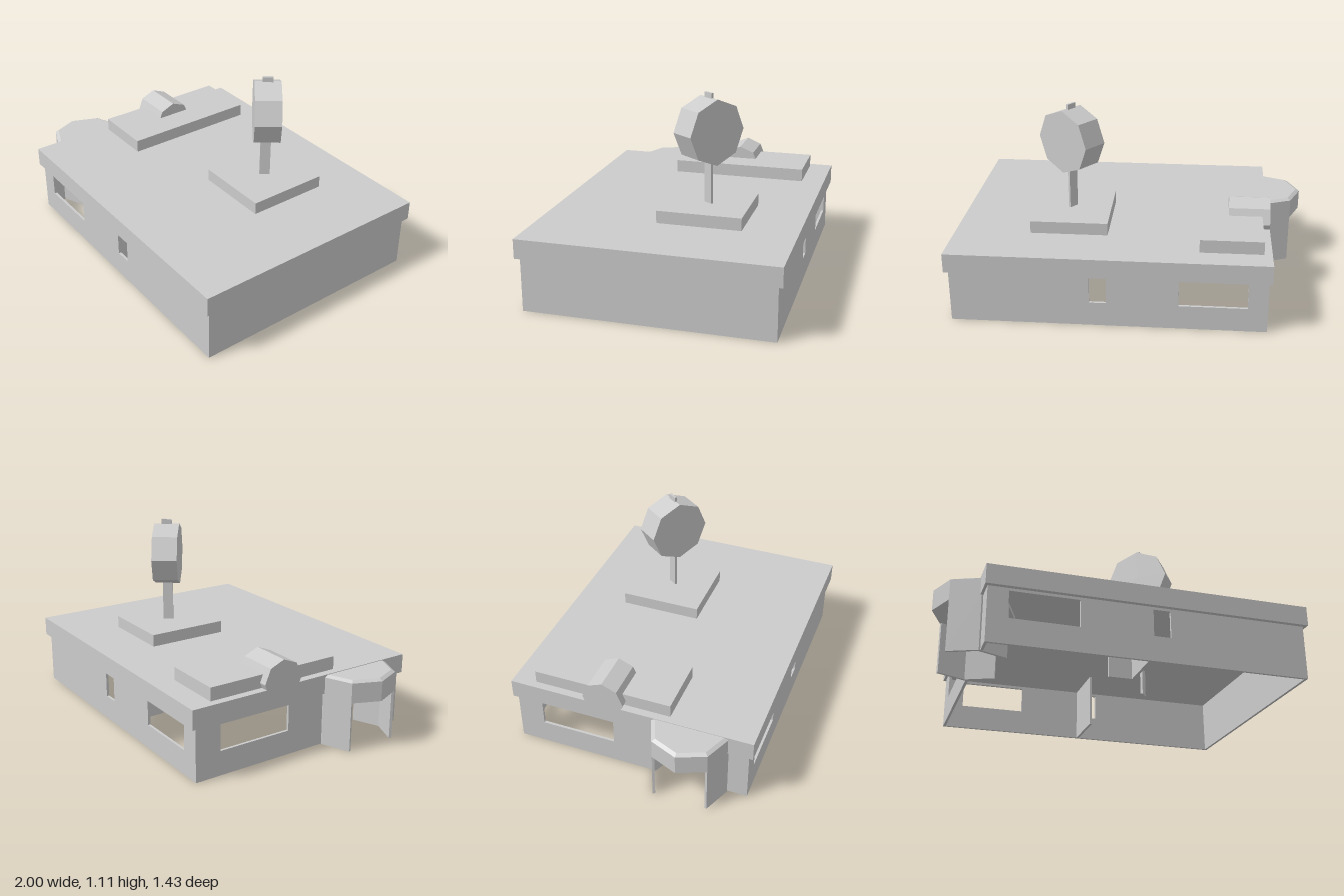
import * as THREE from 'three';

export function createModel() {
  const model = new THREE.Group();
  const mat = new THREE.MeshStandardMaterial({ color: 0xcccccc, flatShading: true });
  const T = 0.015; // wall thickness
  const WALL_H = 0.305;

  const add = (name, geo, parent = model) => {
    const mesh = new THREE.Mesh(geo, mat);
    mesh.name = name;
    parent.add(mesh);
    return mesh;
  };

  // Box given by its limits on each axis
  const slab = (name, [x0, x1], [y0, y1], [z0, z1]) => {
    const mesh = add(name, new THREE.BoxGeometry(x1 - x0, y1 - y0, z1 - z0));
    mesh.position.set((x0 + x1) / 2, (y0 + y1) / 2, (z0 + z1) / 2);
    return mesh;
  };

  const rect = (path, a, b, lo, hi) =>
    path.moveTo(a, lo).lineTo(b, lo).lineTo(b, hi).lineTo(a, hi).closePath();

  // Flat wall with window openings, extruded along its thickness
  const wallGeometry = (a, b, windows) => {
    const shape = new THREE.Shape();
    rect(shape, a, b, 0, WALL_H);
    for (const [w0, w1] of windows) {
      const hole = new THREE.Path();
      rect(hole, w0, w1, 0.14, 0.29);
      shape.holes.push(hole);
    }
    return new THREE.ExtrudeGeometry(shape, { depth: T, bevelEnabled: false });
  };

  // Roof and outer walls, open underneath
  slab('roof', [-0.785, 1], [WALL_H, 0.415], [-0.715, 0.715]);
  const windows = [[-0.66, -0.285], [0.11, 0.205]];
  add('frontWall', wallGeometry(-0.77, 0.98, windows)).position.z = 0.69 - T;
  add('backWall', wallGeometry(-0.77, 0.98, windows)).position.z = -0.69;
  slab('leftWall', [0.98 - T, 0.98], [0, WALL_H], [-0.69, 0.69]);
  const sideWall = wallGeometry(-0.69, 0.135, [[-0.54, -0.1]]).rotateY(-Math.PI / 2);
  add('rightWall', sideWall).position.x = -0.77 + T;
  slab('rightWallCorner', [-0.77, -0.77 + T], [0, WALL_H], [0.575, 0.69]);

  // Inner partitions
  slab('frontPartition', [0.08, 0.095], [0, WALL_H], [0.41, 0.69]);
  slab('backPartition', [0.08, 0.095], [0, WALL_H], [-0.69, -0.38]);
  slab('crossPartition', [-0.05, 0.095], [0, WALL_H], [0.4, 0.415]);

  // Octagonal entrance: four side panels, open at both ends, under a bevelled cap
  const entrance = new THREE.Group();
  entrance.name = 'entrance';
  entrance.position.set(-0.778, 0, 0.355);
  model.add(entrance);
  const R = 0.222;
  const side = 2 * R * Math.sin(Math.PI / 8);
  const apothem = R * Math.cos(Math.PI / 8) - T / 2;
  for (const k of [1, 2, 5, 6]) {
    const a = (k + 0.5) * Math.PI / 4;
    const panel = add('entrancePanel', new THREE.BoxGeometry(T, 0.3, side), entrance);
    panel.position.set(Math.cos(a) * apothem, 0.15, Math.sin(a) * apothem);
    panel.rotation.y = -a;
  }
  const capProfile = [[0, 0.285], [R, 0.285], [R, 0.4], [0.2, 0.412], [0, 0.412]]
    .map(([r, y]) => new THREE.Vector2(r, y));
  add('entranceCap', new THREE.LatheGeometry(capProfile, 8), entrance);

  // Roof vent: octagonal duct lying on a plinth
  slab('ventPlinth', [-0.74, -0.39], [0.41, 0.49], [-0.58, 0.23]);
  const duct = add('ventDuct', new THREE.CylinderGeometry(0.12, 0.12, 0.235, 8).rotateZ(Math.PI / 2));
  duct.position.set(-0.6675, 0.445, -0.15);

  // Rooftop sign: octagonal disc on a thin post that runs through the roof
  slab('signPlinth', [0.13, 0.57], [0.41, 0.486], [-0.41, 0.067]);
  const sign = new THREE.Group();
  sign.name = 'sign';
  sign.position.set(0.355, 0, -0.172);
  sign.rotation.y = -0.6435;
  model.add(sign);
  const disc = new THREE.CylinderGeometry(0.185, 0.185, 0.15, 8).rotateX(Math.PI / 2);
  add('signDisc', disc, sign).position.y = 0.9;
  add('signPost', new THREE.BoxGeometry(0.014, 0.97, 0.06), sign).position.y = 0.627;

  return model;
}
